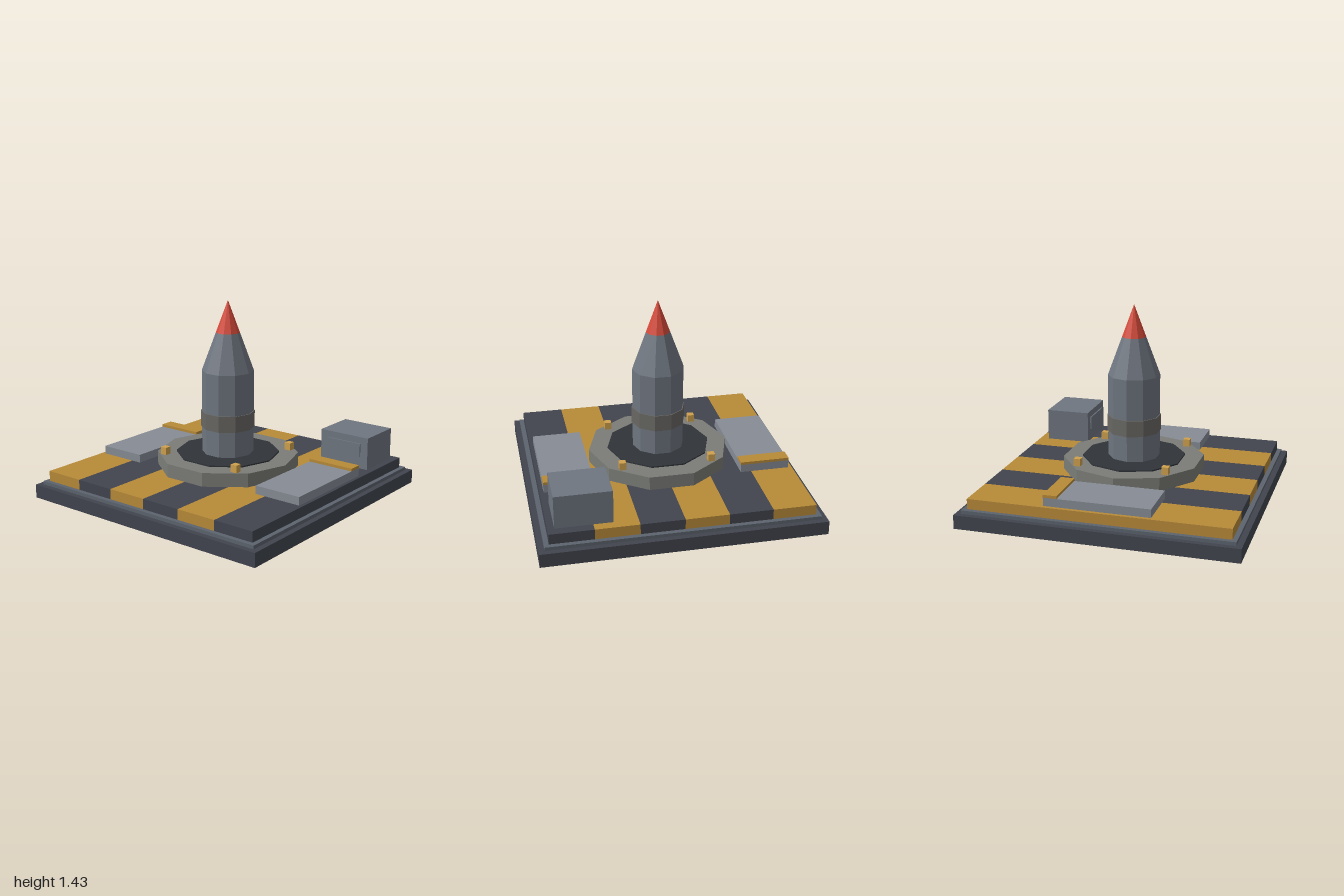
import * as THREE from 'three';

const mat = (color) => new THREE.MeshStandardMaterial({ color, flatShading: true });
const DARK = mat(0x41454e), TRIM = mat(0x5c646e), AMBER = mat(0xb88a38), PANEL = mat(0x868c95),
  HULL = mat(0x6f7680), STONE = mat(0x7b7d77), PIT = mat(0x30343a), BAND = mat(0x686763),
  RED = mat(0xd64a3a), LAMP = mat(0xd0a14e);

export function createModel() {
  const model = new THREE.Group();

  const add = (name, geometry, material) => {
    const mesh = new THREE.Mesh(geometry, material);
    mesh.name = name;
    model.add(mesh);
    return mesh;
  };
  // Box given by its extents on each axis
  const box = (name, material, [x0, x1], [y0, y1], [z0, z1]) =>
    add(name, new THREE.BoxGeometry(x1 - x0, y1 - y0, z1 - z0), material)
      .position.set((x0 + x1) / 2, (y0 + y1) / 2, (z0 + z1) / 2);
  // Ten-sided drum with a corner on the x axis
  const drum = (name, material, rBottom, rTop, y0, y1) => {
    const g = new THREE.CylinderGeometry(rTop, rBottom, y1 - y0, 10);
    g.rotateY(Math.PI / 2);
    add(name, g, material).position.y = (y0 + y1) / 2;
  };

  // Stepped base
  box('baseSlab', DARK, [-1, 1], [0, 0.1], [-1, 1]);
  box('baseTrim', TRIM, [-0.96, 0.96], [0.1, 0.125], [-0.96, 0.96]);

  // Deck of six alternating stripes
  const half = 0.927, width = half / 3;
  for (let i = 0; i < 6; i++) {
    const x = -half + i * width;
    box('deckStripe', i % 2 ? DARK : AMBER, [x, x + width], [0.125, 0.2], [-half, half]);
  }

  // Launch ring and pit
  drum('launchRing', STONE, 0.52, 0.52, 0.2, 0.3);
  drum('launchPit', PIT, 0.38, 0.38, 0.29, 0.31);

  // Rocket
  drum('rocketBody', HULL, 0.19, 0.19, 0.31, 0.92);
  drum('rocketBand', BAND, 0.197, 0.197, 0.5, 0.62);
  drum('rocketShoulder', HULL, 0.19, 0.087, 0.92, 1.2);
  drum('rocketTip', RED, 0.087, 0, 1.2, 1.435);

  // Side panels with hinge bars, and corner lamps on the ring
  for (const s of [-1, 1]) {
    const xs = s > 0 ? [0.54, 0.9] : [-0.9, -0.54];
    box('sidePanel', PANEL, xs, [0.2, 0.26], [-0.378, 0.378]);
    box('hingeBar', AMBER, xs, [0.26, 0.28], [-0.38, -0.28]);
    for (const t of [-1, 1]) {
      const x = s * 0.326, z = t * 0.326, r = 0.025;
      box('ringLamp', LAMP, [x - r, x + r], [0.3, 0.355], [z - r, z + r]);
    }
  }

  // Control bunker with its front window
  box('bunker', HULL, [0.48, 0.88], [0.2, 0.44], [-0.86, -0.525]);
  box('bunkerWindow', HULL, [0.54, 0.82], [0.29, 0.39], [-0.54, -0.515]);

  return model;
}
